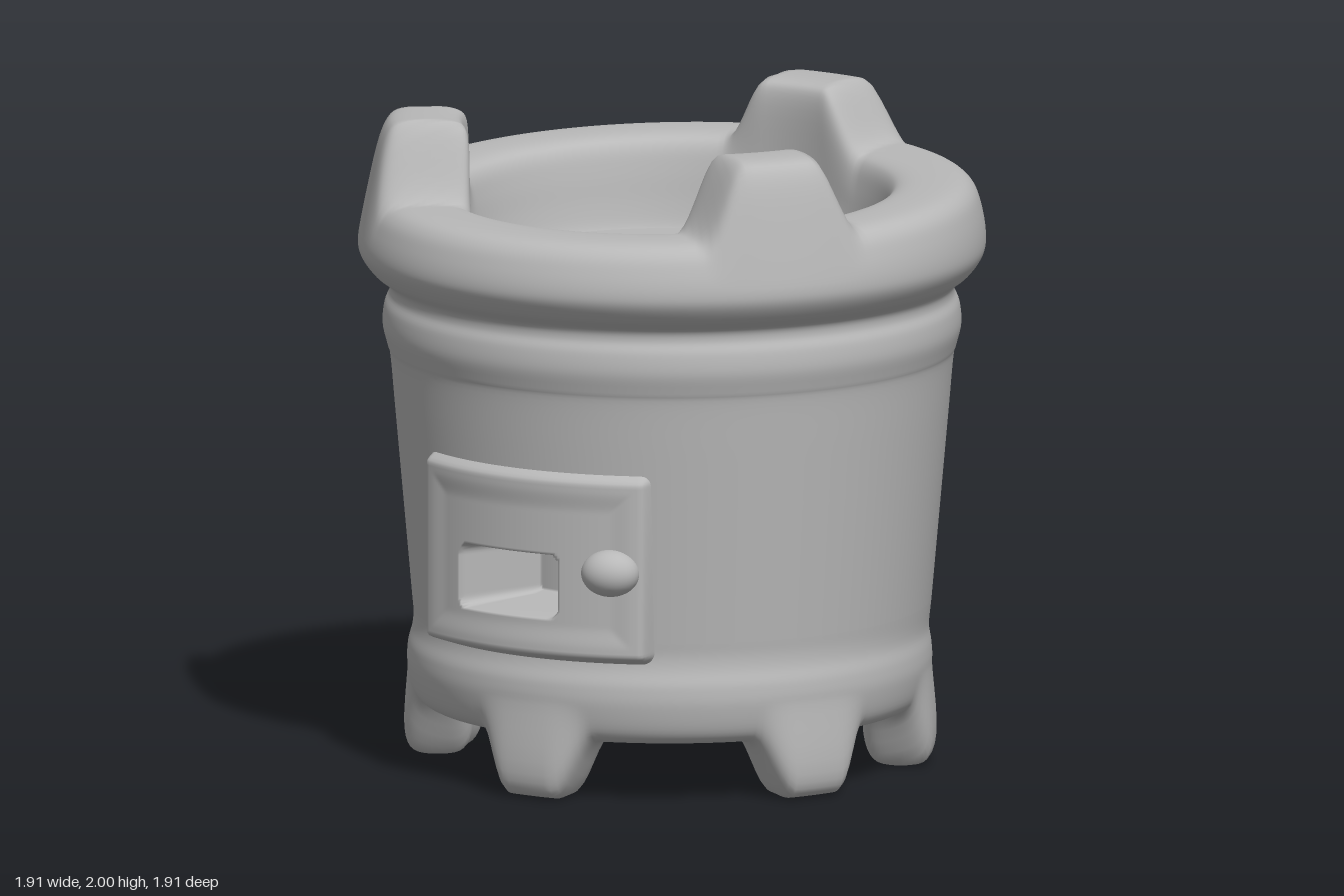
import * as THREE from 'three';

const clay = new THREE.MeshStandardMaterial({ color: 0xb8b8b8 });
clay.name = 'clay';

const { smoothstep, lerp } = THREE.MathUtils;
const SEGMENTS = 240;
const vec = (pts) => pts.map(([x, y]) => new THREE.Vector2(x, y));
const smooth = (pts, n) => new THREE.SplineCurve(vec(pts)).getPoints(n);
const wallRadius = (y) => 0.785 + 0.0893 * (y - 0.43);

function add(parent, name, geometry) {
  const mesh = new THREE.Mesh(geometry, clay);
  mesh.name = name;
  parent.add(mesh);
  return mesh;
}

// Move every vertex by a rule
function warp(geometry, rule) {
  const p = geometry.attributes.position;
  const v = new THREE.Vector3();
  for (let i = 0; i < p.count; i++) {
    v.fromBufferAttribute(p, i);
    rule(v);
    p.setXYZ(i, v.x, v.y, v.z);
  }
  geometry.computeVertexNormals();
  return geometry;
}

// Turned surface shaped by a rule, with the normals joined at the seam
function turned(points, rows, rule) {
  const geo = warp(new THREE.LatheGeometry(smooth(points, rows), SEGMENTS), rule);
  const n = geo.attributes.normal;
  const a = new THREE.Vector3();
  const b = new THREE.Vector3();
  for (let j = 0; j <= rows; j++) {
    const k = SEGMENTS * (rows + 1) + j;
    a.fromBufferAttribute(n, j).add(b.fromBufferAttribute(n, k)).normalize();
    n.setXYZ(j, a.x, a.y, a.z);
    n.setXYZ(k, a.x, a.y, a.z);
  }
  return geo;
}

// 1 within a lump at any of the angles, fading to 0 across its sides
function lump(v, angles, inner, outer) {
  let m = 0;
  for (const a of angles) {
    const across = v.x * Math.cos(a) - v.z * Math.sin(a);
    const along = v.x * Math.sin(a) + v.z * Math.cos(a);
    if (along > 0) m = Math.max(m, 1 - smoothstep(Math.abs(across), inner, outer));
  }
  return m;
}

// Scale the distance from the axis to a new radius
function setRadius(v, radius) {
  const k = radius / Math.hypot(v.x, v.z);
  v.x *= k;
  v.z *= k;
}

// Disc with seven rounded pits, facing up
function pittedPlate(name, radius, depth) {
  const group = new THREE.Group();
  group.name = name;
  const centres = [[0, 0]];
  for (let i = 0; i < 6; i++) {
    const a = (i * Math.PI) / 3;
    centres.push([0.325 * Math.sin(a), 0.345 * Math.cos(a)]);
  }
  const disc = new THREE.Shape().absarc(0, 0, radius, 0, Math.PI * 2);
  for (const [x, z] of centres) {
    disc.holes.push(new THREE.Path().absarc(x, -z, 0.132, 0, Math.PI * 2, true));
  }
  add(group, 'plate', new THREE.ShapeGeometry(disc, 32).rotateX(-Math.PI / 2));
  const pit = new THREE.LatheGeometry(smooth([
    [0.132, 0], [0.118, -0.012], [0.109, -0.05], [0.1, -depth * 0.7], [0.06, -depth * 0.95], [0, -depth],
  ], 15), 32);
  for (const [x, z] of centres) add(group, 'airHole', pit).position.set(x, 0, z);
  return group;
}

// Signed distance to a rounded rectangle
function roundedRect(x, y, cx, cy, hw, hh, r) {
  const dx = Math.abs(x - cx) - hw + r;
  const dy = Math.abs(y - cy) - hh + r;
  return Math.hypot(Math.max(dx, 0), Math.max(dy, 0)) + Math.min(Math.max(dx, dy), 0) - r;
}

export function createModel() {
  const model = new THREE.Group();
  model.name = 'clayStove';

  // Base ring with the hollow underside, drawn down into six feet
  const feet = [0, 1.18, 2.08, Math.PI, -2.08, -1.2];
  add(model, 'baseWithFeet', turned([
    [0.59, 0.45], [0.6, 0.36], [0.61, 0.29], [0.63, 0.225], [0.67, 0.188], [0.74, 0.185], [0.78, 0.22],
    [0.799, 0.3], [0.798, 0.36], [0.788, 0.41], [wallRadius(0.45), 0.45], [wallRadius(0.5), 0.5],
  ], 60, (v) => {
    const r = Math.hypot(v.x, v.z);
    const w = lump(v, feet, 0.075, 0.2) * (1 - smoothstep(v.y, 0.185, 0.31));
    setRadius(v, r + w * (r - 0.7) * 0.5);
    v.z += 0.013 * (1 - smoothstep(v.y, 0.36, 0.48));
    v.y -= 0.183 * w;
  }));

  // Wall, left open behind the door
  const step = (Math.PI * 2) / SEGMENTS;
  add(model, 'wall', new THREE.LatheGeometry(
    vec([[wallRadius(0.5), 0.5], [wallRadius(0.92), 0.92]]),
    SEGMENTS - 22, 11 * step, Math.PI * 2 - 22 * step));

  // Upper wall, raised band, tilted heavy rim drawn up into three pot supports, and fire bowl
  const supports = [-0.986, 0.968, Math.PI - 0.05];
  add(model, 'rimWithPotSupports', turned([
    [wallRadius(0.92), 0.92], [wallRadius(1.1), 1.1], [wallRadius(1.25), 1.25], [0.868, 1.29], [0.882, 1.35],
    [0.877, 1.41], [0.862, 1.45], [0.87, 1.485], [0.915, 1.52], [0.95, 1.57], [0.957, 1.62], [0.945, 1.69],
    [0.92, 1.75], [0.87, 1.78], [0.77, 1.785], [0.70, 1.775], [0.668, 1.745], [0.65, 1.68],
    [0.636, 1.6], [0.622, 1.54], [0.608, 1.515], [0.592, 1.528], [0.57, 1.53],
  ], 110, (v) => {
    const w = lump(v, supports, 0.12, 0.26) * smoothstep(v.y, 1.63, 1.775);
    const tilt = -0.035 * v.z * smoothstep(v.y, 1.54, 1.76);
    setRadius(v, Math.hypot(v.x, v.z) - 0.04 * w);
    v.y += 0.215 * w + tilt * (1 - w);
  }));

  // Grate above and pitted underside below
  const grate = pittedPlate('grate', 0.59, 0.22);
  grate.position.y = 1.53;
  const underside = pittedPlate('underside', 0.68, 0.14);
  underside.rotation.x = Math.PI;
  underside.scale.setScalar(0.88);
  underside.position.y = 0.44;
  model.add(grate, underside);

  // Door panel curved round the wall, with a deep draught opening
  const door = new THREE.PlaneGeometry(0.88, 0.64, 110, 80).translate(0, 0.735, 0);
  add(model, 'door', warp(door, (v) => {
    const { x, y } = v;
    const inside = -roundedRect(x, y, 0, 0.735, 0.435, 0.315, 0.05);
    const edge = smoothstep(inside, 0, 0.05);
    const inset = smoothstep(inside, 0.07, 0.14);
    const hole = smoothstep(-roundedRect(x, y, -0.05, 0.675, 0.185, 0.1, 0.035), 0, 0.02);
    let r = lerp(wallRadius(y) - 0.02, 0.868, edge) - 0.008 * inset;
    r = lerp(r, 0.58, hole);
    const a = Math.asin(x / 0.868);
    v.set(r * Math.sin(a) + 0.03 * hole, y, r * Math.cos(a));
  }));

  // Door knob
  const knob = add(model, 'doorKnob', new THREE.SphereGeometry(1, 32, 20));
  knob.scale.set(0.09, 0.072, 0.075);
  knob.position.set(0.3, 0.73, 0.81);
  knob.rotation.y = 0.35;

  return model;
}
